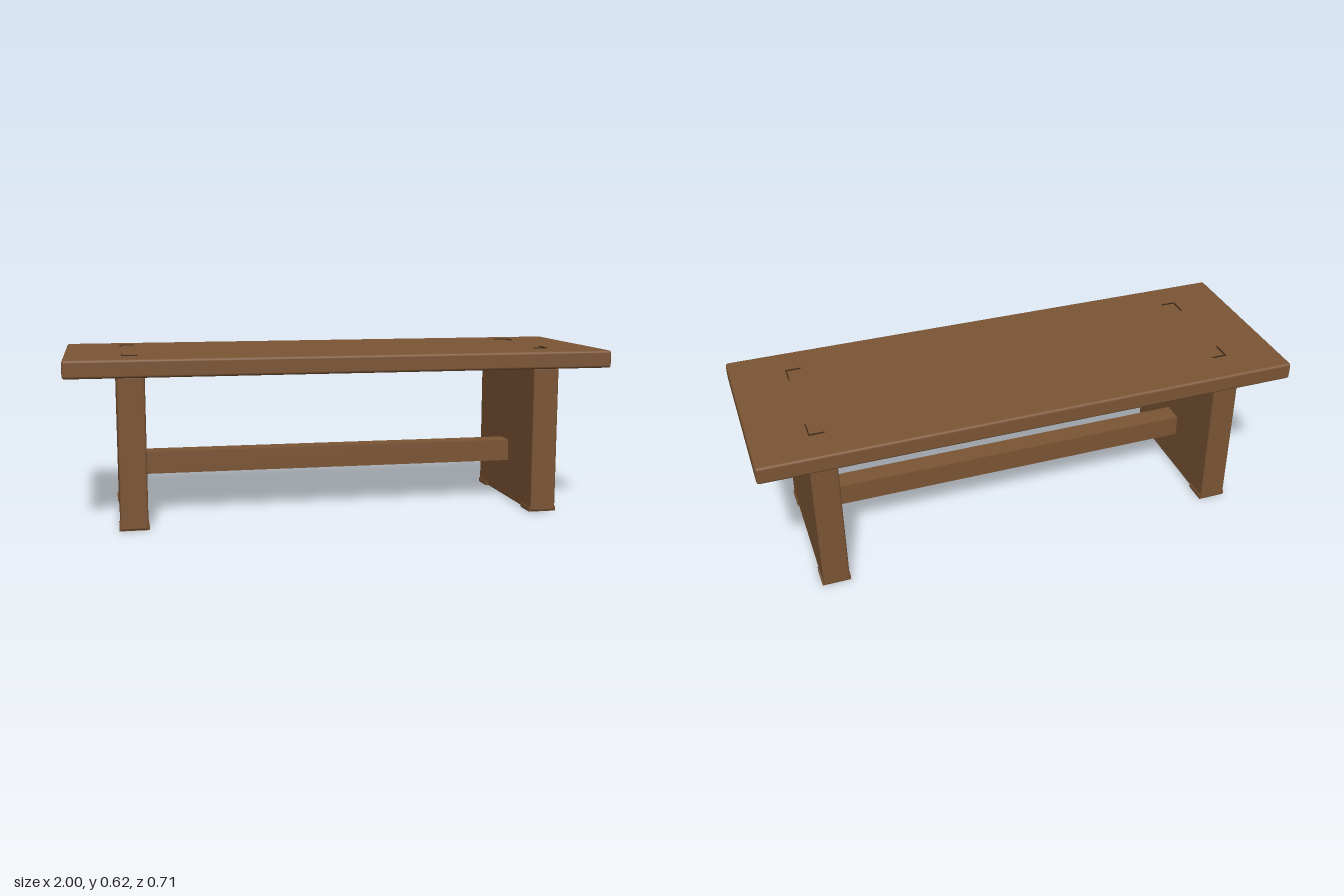
import * as THREE from 'three';
import { RoundedBoxGeometry } from 'three/addons/geometries/RoundedBoxGeometry.js';

export function createModel() {
  const group = new THREE.Group();
  const wood = new THREE.MeshStandardMaterial({ color: 0x7b5535 });
  wood.name = 'brown wood';
  const dark = new THREE.MeshStandardMaterial({ color: 0x3d2a19 });
  dark.name = 'dark joint line';

  const add = (name, geometry, material, x, y, z) => {
    const mesh = new THREE.Mesh(geometry, material);
    mesh.name = name;
    mesh.position.set(x, y, z);
    group.add(mesh);
  };
  const box = (w, h, d) => new THREE.BoxGeometry(w, h, d);
  const rounded = (w, h, d, r) => new RoundedBoxGeometry(w, h, d, 3, r);

  // Table top and the rail between the legs
  add('tableTop', rounded(2, 0.065, 0.71, 0.01), wood, 0, 0.585, 0);
  add('stretcher', box(1.46, 0.083, 0.08), wood, 0, 0.196, 0);

  for (const sx of [-1, 1]) {
    const side = sx > 0 ? 'left' : 'right';
    // Slab leg
    add(side + 'Leg', rounded(0.098, 0.551, 0.594, 0.008), wood, sx * 0.768, 0.2775, 0);

    for (const sz of [-1, 1]) {
      const corner = side + (sz > 0 ? 'Front' : 'Back');
      // Foot pad under each leg corner
      add(corner + 'FootPad', box(0.106, 0.017, 0.088), wood, sx * 0.768, 0.0085, sz * 0.247);
      // L-shaped joint line on the top
      add(corner + 'JointLineAcross', box(0.056, 0.004, 0.004), dark, sx * 0.769, 0.619, sz * 0.22);
      add(corner + 'JointLineAlong', box(0.004, 0.004, 0.07), dark, sx * 0.795, 0.619, sz * 0.187);
    }
  }
  return group;
}
